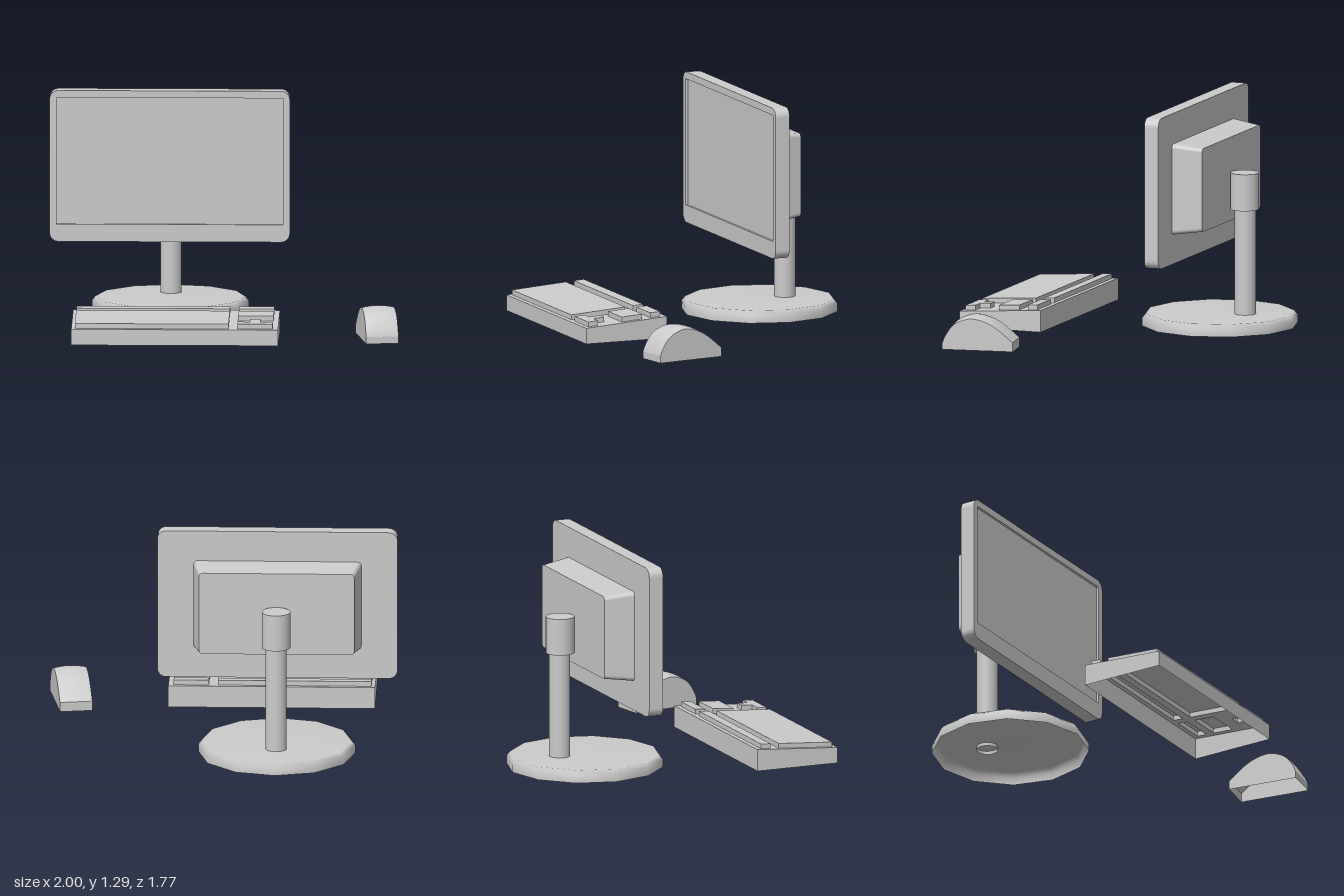
import * as THREE from 'three';
import { mergeGeometries } from 'three/addons/utils/BufferGeometryUtils.js';

const solid = new THREE.MeshStandardMaterial({ color: 0xcccccc });
const open = new THREE.MeshStandardMaterial({ color: 0xcccccc, side: THREE.DoubleSide });

function add(parent, name, geometry, material = solid) {
  const mesh = new THREE.Mesh(geometry, material);
  mesh.name = name;
  parent.add(mesh);
  return mesh;
}

function roundedRect(w, h, r) {
  const s = new THREE.Shape();
  const x = w / 2, y = h / 2;
  s.absarc(x - r, y - r, r, 0, Math.PI / 2);
  s.absarc(-x + r, y - r, r, Math.PI / 2, Math.PI);
  s.absarc(-x + r, -y + r, r, Math.PI, Math.PI * 1.5);
  s.absarc(x - r, -y + r, r, Math.PI * 1.5, Math.PI * 2);
  s.closePath();
  return s;
}

function rectPath(x0, x1, y0, y1) {
  return [[x0, y0], [x1, y0], [x1, y1], [x0, y1]].map(([x, y]) => new THREE.Vector2(x, y));
}

function extrude(shape, depth) {
  return new THREE.ExtrudeGeometry(shape, { depth, bevelEnabled: false, curveSegments: 3 });
}

// Open-bottomed shell: a lid and walls between two height rules.
// Outline points are (x, -z), counter-clockwise from above.
function shell(points, bottom, top, holes = []) {
  const shape = new THREE.Shape(points);
  shape.holes = holes.map((h) => new THREE.Path(h));
  const lid = new THREE.ShapeGeometry(shape).rotateX(-Math.PI / 2).toNonIndexed();
  const p = lid.attributes.position;
  for (let i = 0; i < p.count; i++) p.setY(i, top(p.getZ(i)));
  lid.deleteAttribute('uv');
  const v = [];
  points.forEach((a, i) => {
    const b = points[(i + 1) % points.length];
    const a0 = [a.x, bottom(-a.y), -a.y], a1 = [a.x, top(-a.y), -a.y];
    const b0 = [b.x, bottom(-b.y), -b.y], b1 = [b.x, top(-b.y), -b.y];
    v.push(...a0, ...b0, ...b1, ...a0, ...b1, ...a1);
  });
  const walls = new THREE.BufferGeometry();
  walls.setAttribute('position', new THREE.Float32BufferAttribute(v, 3));
  walls.computeVertexNormals();
  lid.computeVertexNormals();
  return mergeGeometries([lid, walls]);
}

function createMonitor() {
  const g = new THREE.Group();
  g.name = 'monitor';
  g.position.x = -0.32;

  // Panel with a slightly recessed screen
  add(g, 'screenPanel', extrude(roundedRect(1.36, 0.865, 0.05), 0.071)).position.set(0, 0.853, -0.345);
  const rim = roundedRect(1.36, 0.865, 0.05);
  rim.holes.push(new THREE.Path(rectPath(-0.64, 0.64, -0.333, 0.392)));
  add(g, 'bezel', extrude(rim, 0.014)).position.set(0, 0.853, -0.274);

  // Tapered housing behind the panel
  const housing = extrude(roundedRect(0.95, 0.52, 0.025), 0.17);
  const p = housing.attributes.position;
  for (let i = 0; i < p.count; i++) {
    if (p.getZ(i) < 0.01) p.setXY(i, p.getX(i) * 0.926, p.getY(i) * 0.92);
  }
  housing.computeVertexNormals();
  add(g, 'rearHousing', housing).position.set(0, 0.85, -0.515);

  // Stand
  add(g, 'neck', new THREE.CylinderGeometry(0.06, 0.06, 0.64, 32, 1, true), open).position.set(0, 0.38, -0.6);
  add(g, 'collar', new THREE.CylinderGeometry(0.081, 0.081, 0.21, 32)).position.set(0, 0.785, -0.597);
  const profile = [[0.445, 0.01], [0.445, 0.055], [0.425, 0.08], [0, 0.08]]
    .map(([x, y]) => new THREE.Vector2(x, y));
  add(g, 'standBase', new THREE.LatheGeometry(profile, 12), open).position.z = -0.445;
  return g;
}

function createKeyboard() {
  const g = new THREE.Group();
  g.name = 'keyboard';
  const deck = (z) => 0.1 + 0.035 * (0.885 - z) / 0.495;
  const block = (x0, x1, z0, z1) => rectPath(x0, x1, -z1, -z0);
  const arrows = [[0.09, 0.86], [0.29, 0.86], [0.29, 0.8], [0.22, 0.8],
    [0.22, 0.735], [0.16, 0.735], [0.16, 0.8], [0.09, 0.8]]
    .map(([x, z]) => new THREE.Vector2(x, -z));
  const keys = {
    functionKeys: block(-0.83, 0.04, 0.42, 0.48),
    mainKeys: block(-0.83, 0.04, 0.53, 0.86),
    upperSideKeys: block(0.09, 0.29, 0.42, 0.48),
    middleSideKeys: block(0.09, 0.29, 0.53, 0.655),
    arrowKeys: arrows,
  };
  const outline = block(-0.85, 0.32, 0.39, 0.885);
  add(g, 'keyboardCase', shell(outline, () => 0.01, deck, Object.values(keys)), open);
  for (const [name, points] of Object.entries(keys)) {
    add(g, name, shell(points, deck, (z) => deck(z) + 0.028), open);
  }
  return g;
}

function createMouse() {
  const g = new THREE.Group();
  g.name = 'mouse';
  g.position.set(0.873, 0, 0.53);
  g.rotation.y = 0.17;
  const half = 0.0925, edge = 0.94;

  // Arched side profile as (z, y)
  const arch = new THREE.SplineCurve([[-0.205, 0.055], [-0.12, 0.13], [-0.05, 0.172], [0.03, 0.192],
    [0.1, 0.175], [0.15, 0.14], [0.188, 0.08], [0.203, 0.04]]
    .map(([z, y]) => new THREE.Vector2(z, y))).getPoints(28);

  // Gently domed top skin
  const top = new THREE.PlaneGeometry(1, 1, 8, 28);
  const p = top.attributes.position;
  for (let i = 0; i < p.count; i++) {
    const w = p.getX(i) * 2, a = arch[Math.floor(i / 9)];
    p.setXYZ(i, w * half, a.y * (1 - (1 - edge) * w * w), a.x);
  }
  top.computeVertexNormals();
  add(g, 'mouseTop', top, open);

  // Sides and short upright ends
  const last = arch[arch.length - 1];
  const side = new THREE.Shape([new THREE.Vector2(-arch[0].x, 0),
    ...arch.map((a) => new THREE.Vector2(-a.x, a.y * edge)), new THREE.Vector2(-last.x, 0)]);
  for (const s of [-1, 1]) {
    const mesh = add(g, s < 0 ? 'mouseRightSide' : 'mouseLeftSide', new THREE.ShapeGeometry(side), open);
    mesh.rotation.y = Math.PI / 2;
    mesh.position.x = s * half;
    const end = s < 0 ? arch[0] : last;
    const wall = add(g, s < 0 ? 'mouseBack' : 'mouseFront', new THREE.PlaneGeometry(half * 2, end.y), open);
    wall.position.set(0, end.y / 2, end.x);
    if (s < 0) wall.rotation.y = Math.PI;
  }
  return g;
}

export function createModel() {
  const model = new THREE.Group();
  model.name = 'desktopComputer';
  model.add(createMonitor(), createKeyboard(), createMouse());
  return model;
}
